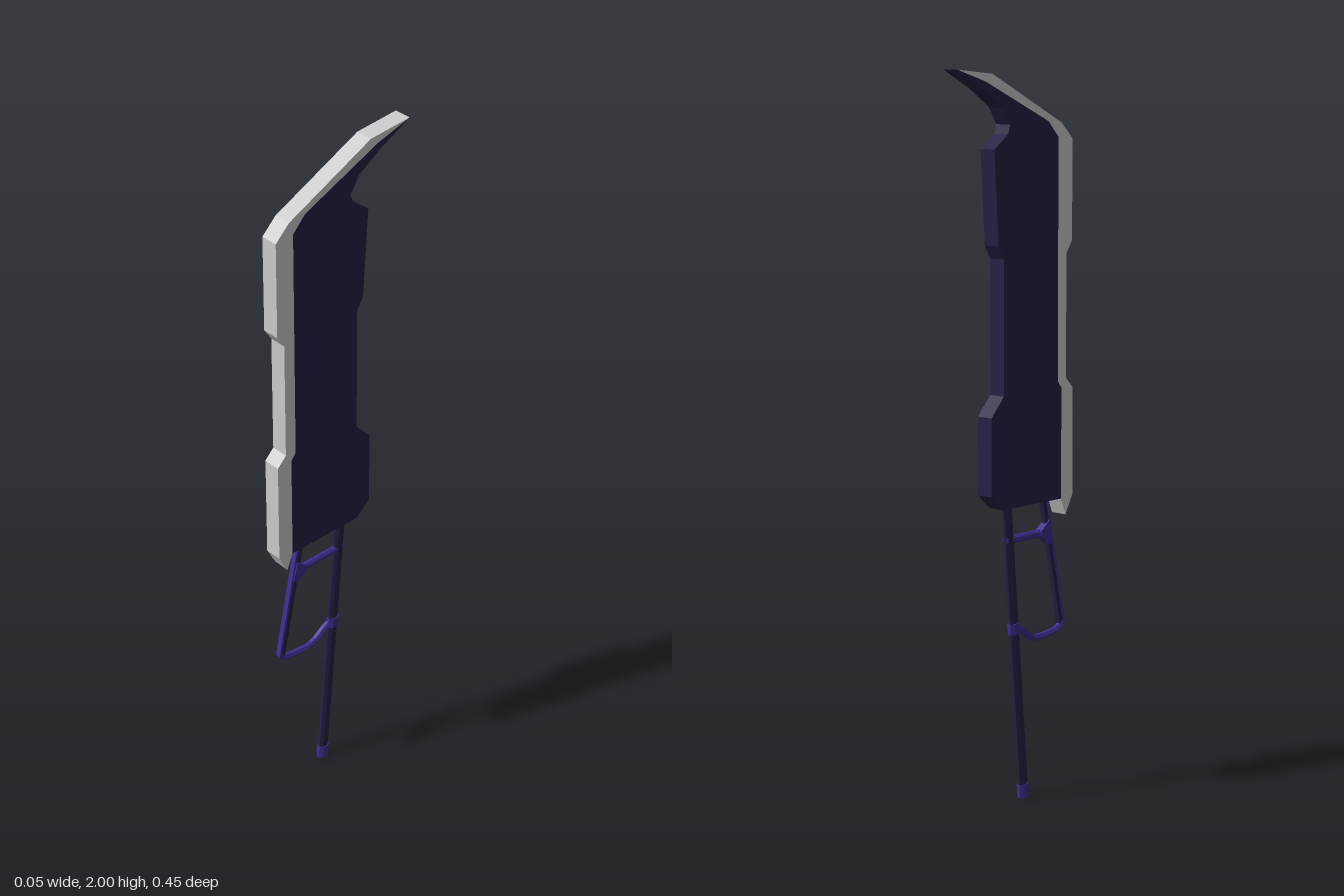
import * as THREE from 'three';

const mat = (name, color) => {
  const m = new THREE.MeshStandardMaterial({ color, flatShading: true });
  m.name = name;
  return m;
};

export function createModel() {
  const group = new THREE.Group();
  const steel = mat('pale steel', 0xcccccc);
  const navy = mat('dark navy', 0x222244);
  const purple = mat('purple', 0x3d2f8f);

  const add = (name, geometry, material) => {
    const mesh = new THREE.Mesh(geometry, material);
    mesh.name = name;
    group.add(mesh);
    return mesh;
  };

  // Flat plate from a [z, y] outline, centred on x = 0
  const plate = (name, points, width, material) => {
    const shape = new THREE.Shape(points.map(([z, y]) => new THREE.Vector2(-z, y)));
    const g = new THREE.ExtrudeGeometry(shape, { depth: width, bevelEnabled: false });
    g.translate(0, 0, -width / 2).rotateY(Math.PI / 2);
    return add(name, g, material);
  };

  // Slim faceted rod between two [z, y] points
  const rod = (name, [z0, y0], [z1, y1], rx, rz, material, sides = 8) => {
    const dz = z1 - z0, dy = y1 - y0;
    const g = new THREE.CylinderGeometry(1, 1, Math.hypot(dz, dy), sides);
    g.rotateY(Math.PI / sides).scale(rx, 1, rz);
    g.rotateX(Math.atan2(dz, dy));
    g.translate(0, (y0 + y1) / 2, (z0 + z1) / 2);
    return add(name, g, material);
  };

  // Boundary between the cutting edge and the blade body, bottom to tip
  const seam = [
    [0.18, 0.827], [0.18, 1.135], [0.165, 1.155], [0.165, 1.817],
    [0.125, 1.86], [-0.12, 1.968], [-0.227, 2],
  ];

  // Blade
  plate('cuttingEdge', [
    ...seam,
    [-0.095, 1.988], [0.178, 1.855], [0.222, 1.812], [0.222, 1.537], [0.199, 1.502],
    [0.199, 1.161], [0.227, 1.132], [0.227, 0.833], [0.199, 0.78],
  ], 0.05, steel);
  plate('bladeBody', [
    ...seam,
    [-0.13, 1.95], [-0.055, 1.9], [-0.027, 1.855], [-0.035, 1.83], [-0.088, 1.792],
    [-0.072, 1.537], [-0.052, 1.502], [-0.052, 1.135], [-0.1, 1.082],
    [-0.1, 0.868], [-0.055, 0.827],
  ], 0.05, navy);

  // Handle
  rod('handle', [-0.015, 0.84], [0.053, 0.02], 0.011, 0.017, navy);
  rod('pommel', [0.054, 0], [0.051, 0.038], 0.014, 0.02, purple);
  rod('handleCollar', [0.015, 0.47], [0.012, 0.5], 0.014, 0.02, purple);

  // Hand guard
  rod('guardBar', [0.13, 0.84], [0.205, 0.47], 0.01, 0.012, navy, 4);
  rod('guardBarFace', [0.14, 0.838], [0.214, 0.47], 0.011, 0.005, purple, 4);
  rod('guardCrossbar', [0.135, 0.735], [-0.02, 0.735], 0.01, 0.012, purple);
  plate('guardJoint', [[0.15, 0.77], [0.115, 0.742], [0.115, 0.73], [0.15, 0.7], [0.163, 0.715]], 0.022, purple);

  const path = [[0.21, 0.475], [0.2, 0.458], [0.14, 0.445], [0.09, 0.447], [0.035, 0.482], [0.014, 0.487]];
  const curve = new THREE.CatmullRomCurve3(path.map(([z, y]) => new THREE.Vector3(0, y, z)));
  add('guardLoop', new THREE.TubeGeometry(curve, 12, 0.01, 6), purple);

  return group;
}
